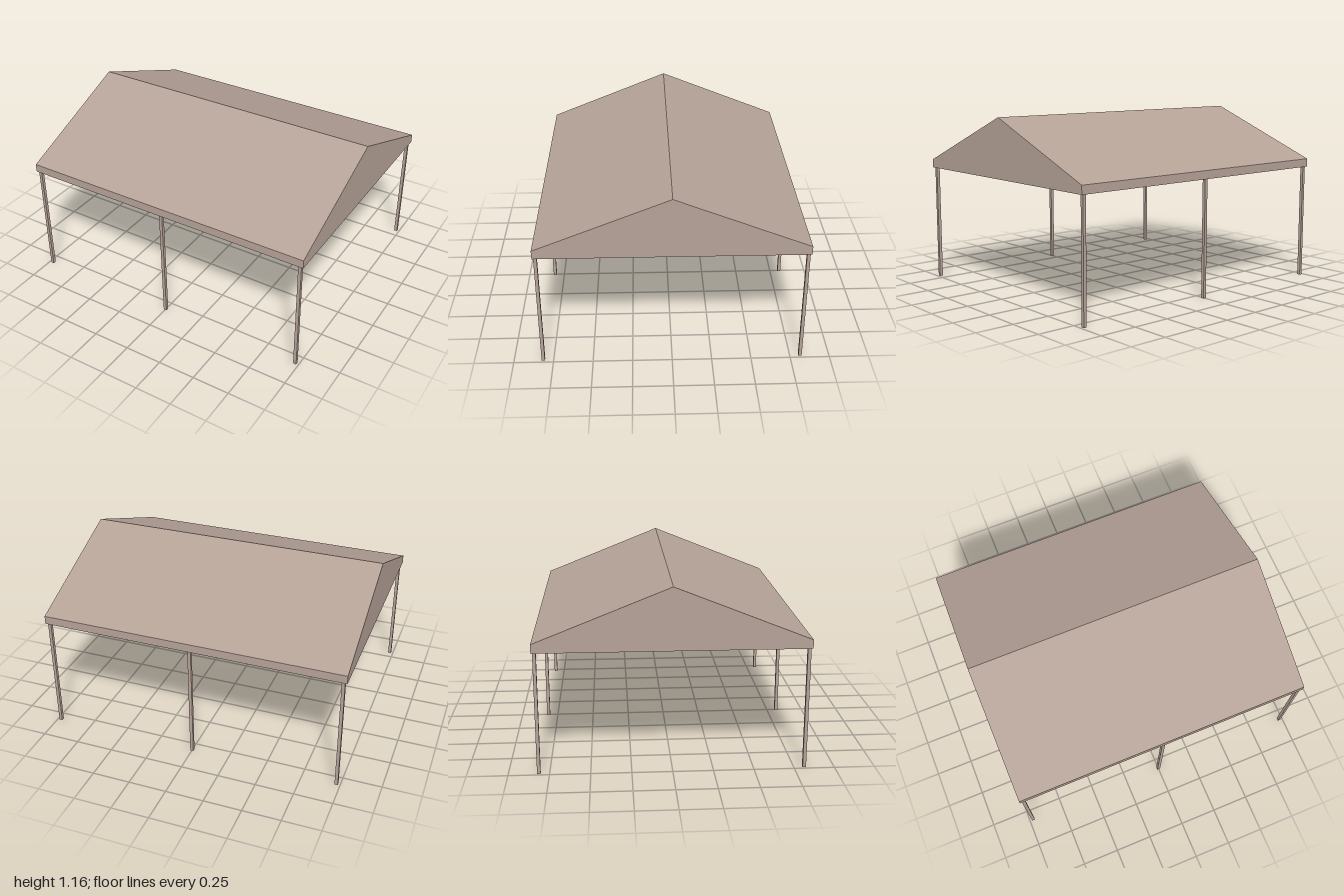
import * as THREE from 'three';

const HALF_X = 1, HALF_Z = 0.833;           // roof footprint
const EAVE_LOW = 0.77, EAVE = 0.825, RIDGE = 1.158;
const SKIN = 0.008, BAR = 0.021;            // sheet and bar thickness
const SLOPE = (RIDGE - EAVE) / HALF_Z;
const POST_X = HALF_X - 0.025, POST_Z = HALF_Z - 0.018;

const material = new THREE.MeshStandardMaterial({ color: 0xb5a297, flatShading: true });

function add(group, name, geometry, x = 0, y = 0, z = 0) {
  const mesh = new THREE.Mesh(geometry, material);
  mesh.name = name;
  mesh.position.set(x, y, z);
  group.add(mesh);
}

// Extrudes a [z, y] outline along x, centred on x = 0
function extrudeAlongX(points, length) {
  const shape = new THREE.Shape(points.map(([z, y]) => new THREE.Vector2(-z, y)));
  const geometry = new THREE.ExtrudeGeometry(shape, { depth: length, bevelEnabled: false });
  return geometry.translate(0, 0, -length / 2).rotateY(Math.PI / 2);
}

export function createModel() {
  const model = new THREE.Group();
  model.name = 'openShelter';

  // Roof sheet with its turned-down eaves
  const drop = SKIN * Math.hypot(1, SLOPE);
  const inZ = HALF_Z - SKIN;
  const inEave = RIDGE - drop - inZ * SLOPE;
  add(model, 'roof', extrudeAlongX([
    [-HALF_Z, EAVE_LOW], [-HALF_Z, EAVE], [0, RIDGE], [HALF_Z, EAVE], [HALF_Z, EAVE_LOW],
    [inZ, EAVE_LOW], [inZ, inEave], [0, RIDGE - drop], [-inZ, inEave], [-inZ, EAVE_LOW],
  ], 2 * HALF_X));

  // Gable panels closing both ends
  const gable = [
    [-inZ, EAVE_LOW], [-inZ, inEave], [0, RIDGE - drop], [inZ, inEave], [inZ, EAVE_LOW],
  ];
  for (const s of [-1, 1]) {
    add(model, s > 0 ? 'leftGable' : 'rightGable', extrudeAlongX(gable, SKIN), s * (HALF_X - SKIN / 2));
  }

  // Rafter pairs under the roof sheet
  const rafterDrop = drop + BAR * Math.hypot(1, SLOPE);
  const rafter = [
    [-inZ, inEave], [0, RIDGE - drop], [inZ, inEave],
    [inZ, RIDGE - rafterDrop - inZ * SLOPE], [0, RIDGE - rafterDrop], [-inZ, RIDGE - rafterDrop - inZ * SLOPE],
  ];
  for (let i = -2; i <= 2; i++) {
    add(model, 'rafter', extrudeAlongX(rafter, BAR), i * POST_X / 2);
  }

  // Ridge beam, eave beams and posts
  const beamLength = 2 * POST_X + BAR;
  const beamY = inEave - BAR / 2;
  add(model, 'ridgeBeam', new THREE.BoxGeometry(beamLength, BAR, BAR), 0, RIDGE - drop - BAR * 0.65, 0);
  for (const s of [-1, 1]) {
    add(model, 'eaveBeam', new THREE.BoxGeometry(beamLength, BAR, BAR), 0, beamY, s * POST_Z);
    for (const i of [-1, 0, 1]) {
      add(model, 'post', new THREE.BoxGeometry(BAR, beamY, BAR), i * POST_X, beamY / 2, s * POST_Z);
    }
  }
  return model;
}
